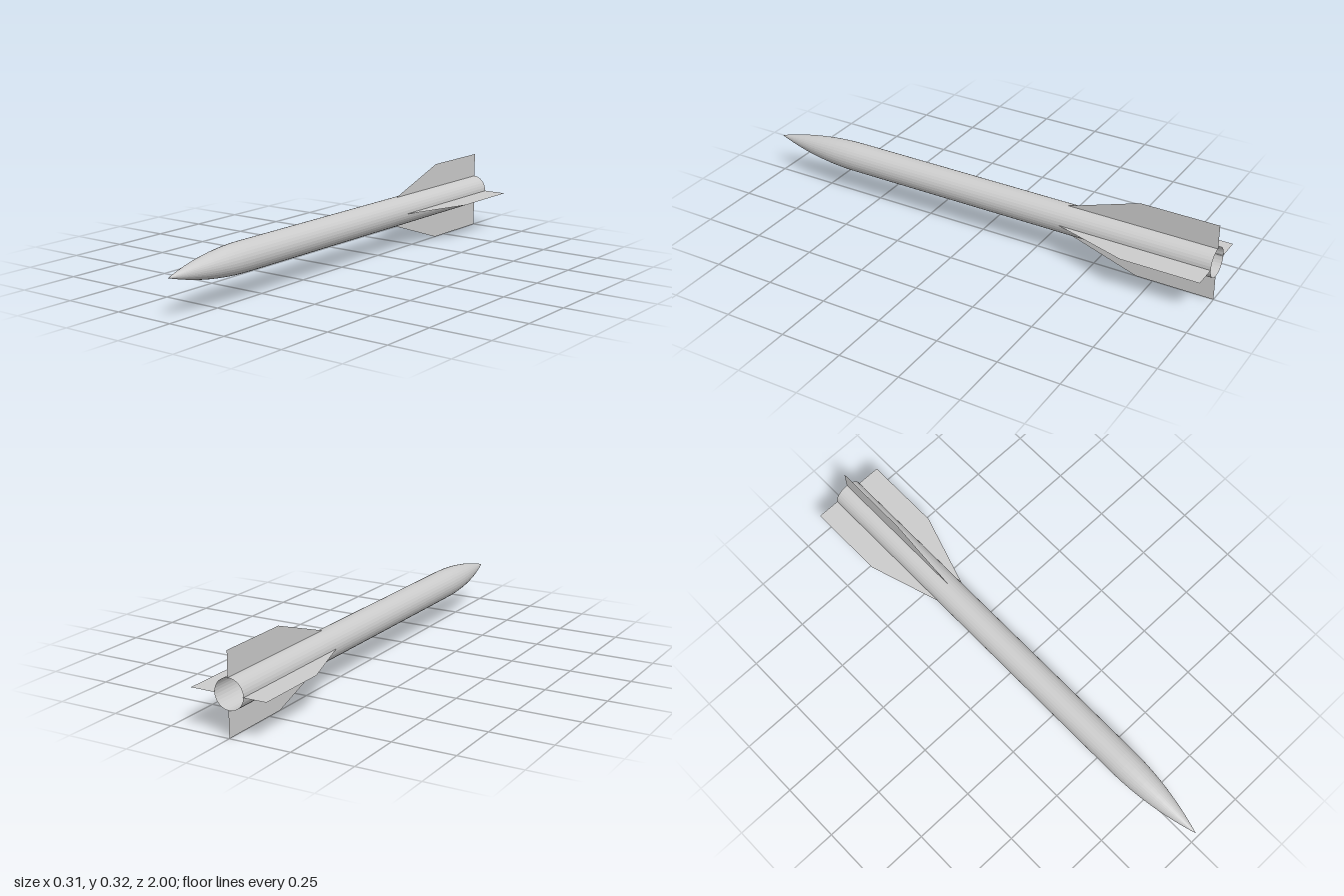
import * as THREE from 'three';

const material = new THREE.MeshStandardMaterial({
  color: 0xcccccc, flatShading: true, side: THREE.DoubleSide,
});

const RADIUS = 0.06, SIDES = 32;
const TAIL = -1, SHOULDER = 0.6, TIP = 1;

// Surface of revolution whose axis runs along z
function revolved(name, points) {
  const geometry = new THREE.LatheGeometry(points, SIDES).rotateX(Math.PI / 2);
  const mesh = new THREE.Mesh(geometry, material);
  mesh.name = name;
  return mesh;
}

// Thin fin in the plane of the z axis, reaching out along +x
function fin(name, reach, angle) {
  const outline = new THREE.Shape([
    new THREE.Vector2(0.058, -0.37),
    new THREE.Vector2(reach, -0.68),
    new THREE.Vector2(reach, TAIL),
    new THREE.Vector2(0.058, TAIL),
  ]);
  const geometry = new THREE.ShapeGeometry(outline).rotateX(Math.PI / 2);
  const mesh = new THREE.Mesh(geometry, material);
  mesh.name = name;
  mesh.rotation.z = angle;
  return mesh;
}

export function createModel() {
  const model = new THREE.Group();
  model.name = 'rocket';

  // Hollow tube, open at the tail, with a pointed ogive nose
  const body = new THREE.Group();
  body.name = 'body';
  body.position.set(-0.003, 0.163, 0);
  body.add(revolved('bodyTube', [
    new THREE.Vector2(RADIUS, TAIL), new THREE.Vector2(RADIUS, SHOULDER),
  ]));
  const nose = [];
  const length = TIP - SHOULDER;
  const arc = (length * length + RADIUS * RADIUS) / (2 * RADIUS);
  for (let i = 0; i <= 12; i++) {
    const d = length * i / 12;
    const r = Math.sqrt(arc * arc - d * d) + RADIUS - arc;
    nose.push(new THREE.Vector2(Math.max(r, 0), SHOULDER + d));
  }
  body.add(revolved('noseCone', nose));
  model.add(body);

  // Four tail fins in a cross
  const fins = new THREE.Group();
  fins.name = 'tailFins';
  fins.position.y = 0.161;
  ['leftFin', 'topFin', 'rightFin', 'bottomFin'].forEach((name, i) => {
    fins.add(fin(name, i % 2 ? 0.161 : 0.157, i * Math.PI / 2));
  });
  model.add(fins);

  return model;
}
